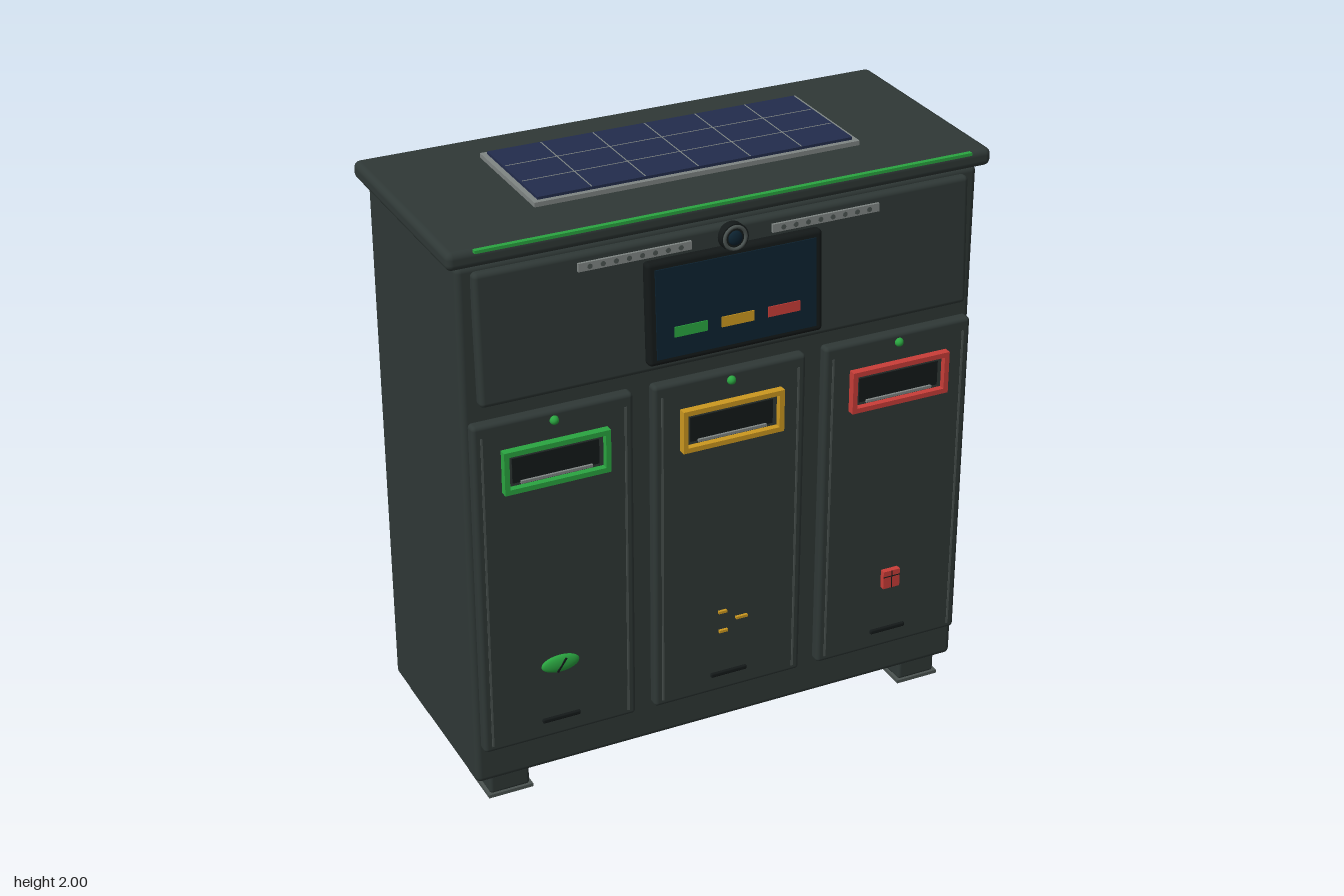
import * as THREE from 'three';
import { RoundedBoxGeometry } from 'three/addons/geometries/RoundedBoxGeometry.js';

const mat = (name, color) => {
  const m = new THREE.MeshStandardMaterial({ color });
  m.name = name;
  return m;
};

export function createModel() {
  const shell = mat('shell', 0x2f3836);
  const black = mat('black', 0x141919);
  const trim = mat('trim', 0x4a5250);
  const metal = mat('metal', 0x7f8583);
  const cell = mat('solar blue', 0x222c4c);
  const glass = mat('screen glass', 0x0c2230);
  const green = mat('green', 0x2aa540);
  const yellow = mat('yellow', 0xcc981f);
  const red = mat('red', 0xc93d38);

  const add = (parent, name, geo, material, x, y, z) => {
    const m = new THREE.Mesh(geo, material);
    m.name = name;
    m.position.set(x, y, z);
    parent.add(m);
    return m;
  };
  // box given by centre and size; r rounds its edges
  const box = (parent, name, material, x, y, z, w, h, d, r = 0) =>
    add(parent, name, r ? new RoundedBoxGeometry(w, h, d, 3, r) : new THREE.BoxGeometry(w, h, d), material, x, y, z);
  // disc or cylinder with its axis along z
  const disc = (parent, name, material, x, y, z, r, d) =>
    add(parent, name, new THREE.CylinderGeometry(r, r, d, 24).rotateX(Math.PI / 2), material, x, y, z);
  // rectangular ring facing +z, back face at z
  const ring = (parent, name, material, x, y, z, w, h, t, d) => {
    const rect = (C, a, b) => new C([[-a, -b], [a, -b], [a, b], [-a, b]].map(p => new THREE.Vector2(...p)));
    const s = rect(THREE.Shape, w / 2, h / 2);
    s.holes.push(rect(THREE.Path, w / 2 - t, h / 2 - t));
    return add(parent, name, new THREE.ExtrudeGeometry(s, { depth: d, bevelEnabled: false }), material, x, y, z);
  };
  const group = (parent, name, x, y, z) => {
    const g = new THREE.Group();
    g.name = name;
    g.position.set(x, y, z);
    parent.add(g);
    return g;
  };

  const model = new THREE.Group();
  model.name = 'recyclingStation';
  const root = group(model, 'station', -0.003, 0, 0);

  // Cabinet and lid
  box(root, 'cabinet', shell, 0, 0.995, -0.022, 1.775, 1.835, 0.735, 0.02);
  box(root, 'lid', shell, 0, 1.945, -0.025, 1.845, 0.06, 0.795, 0.022);
  box(root, 'lidLightStrip', green, 0, 1.973, 0.377, 1.68, 0.01, 0.016);

  // Feet
  for (const x of [-0.765, 0.765]) for (const z of [0.245, -0.295]) {
    const foot = group(root, 'foot', x, 0, z);
    box(foot, 'footBlock', shell, 0, 0.045, 0, 0.14, 0.075, 0.16, 0.012);
    box(foot, 'footPlate', trim, 0, 0.006, 0, 0.156, 0.012, 0.175);
  }

  // Solar panel
  const solar = group(root, 'solarPanel', 0, 1.975, -0.047);
  box(solar, 'solarFrame', metal, 0, 0.007, 0, 1.115, 0.016, 0.43);
  box(solar, 'solarCells', cell, 0, 0.014, 0, 1.08, 0.02, 0.395);
  for (let i = -2; i <= 2; i++) box(solar, 'cellLine', metal, i * 0.18, 0.0235, 0, 0.004, 0.002, 0.39);
  for (const z of [-0.066, 0.066]) box(solar, 'cellLine', metal, 0, 0.0235, z, 1.07, 0.002, 0.004);

  // Tilted console with screen, camera and speaker bars
  const top = group(root, 'console', 0, 1.677, 0.36);
  top.rotation.x = -0.05;
  box(top, 'consolePanel', shell, 0, 0, 0, 1.685, 0.435, 0.045, 0.016);
  box(top, 'screenBezel', black, 0, -0.017, 0.035, 0.6, 0.34, 0.04, 0.014);
  box(top, 'screen', glass, 0, -0.017, 0.056, 0.55, 0.295, 0.006);
  [green, yellow, red].forEach((m, i) => box(top, 'screenButton', m, (i - 1) * 0.16, -0.082, 0.06, 0.112, 0.034, 0.005));
  for (const s of [-1, 1]) {
    box(top, 'speakerBar', metal, s * 0.325, 0.177, 0.026, 0.375, 0.027, 0.012);
    for (let i = 0; i < 8; i++) disc(top, 'speakerHole', trim, s * 0.325 + (i - 3.5) * 0.043, 0.177, 0.033, 0.008, 0.004);
  }
  disc(top, 'cameraHousing', black, 0, 0.18, 0.035, 0.046, 0.03);
  add(top, 'cameraRing', new THREE.TorusGeometry(0.036, 0.006, 10, 32), trim, 0, 0.18, 0.05);
  add(top, 'cameraLens', new THREE.SphereGeometry(0.024, 20, 14).scale(1, 1, 0.5), glass, 0, 0.18, 0.05);

  // Icons near the foot of each bin door
  const leafIcon = g => {
    add(g, 'leafIcon', new THREE.SphereGeometry(1, 24, 16).scale(0.066, 0.031, 0.014), green, 0, 0.49, 0.387);
    box(g, 'leafVein', black, 0, 0.49, 0.401, 0.006, 0.055, 0.004).rotation.z = -0.6;
  };
  const cycleIcon = g => [[-0.025, 0.524], [0.045, 0.487], [-0.022, 0.45]].forEach(([x, y], i) =>
    box(g, 'cycleMark', yellow, x, y, 0.388, i === 1 ? 0.042 : 0.03, 0.009, 0.01));
  const crateIcon = g => {
    box(g, 'crateIcon', red, 0, 0.488, 0.393, 0.062, 0.066, 0.02);
    box(g, 'crateLine', black, 0, 0.5, 0.4035, 0.062, 0.003, 0.002);
    box(g, 'crateLine', black, 0, 0.488, 0.4035, 0.003, 0.066, 0.002);
  };

  // Three bin doors
  [[-0.603, green, leafIcon], [0, yellow, cycleIcon], [0.603, red, crateIcon]].forEach(([x, colour, icon]) => {
    const g = group(root, 'binDoor', x, 0, 0);
    box(g, 'doorPanel', shell, 0, 0.807, 0.361, 0.535, 1.185, 0.045, 0.014);
    for (const s of [-1, 1]) box(g, 'doorTrim', trim, s * 0.239, 0.797, 0.383, 0.007, 1.12, 0.006);
    ring(g, 'slotFrame', colour, 0, 1.231, 0.38, 0.355, 0.147, 0.017, 0.03);
    box(g, 'slotFlap', shell, 0, 1.231, 0.385, 0.32, 0.112, 0.008);
    box(g, 'slotOpening', black, 0, 1.228, 0.389, 0.29, 0.085, 0.006);
    box(g, 'slotLip', metal, 0, 1.187, 0.394, 0.24, 0.009, 0.012);
    add(g, 'statusLight', new THREE.SphereGeometry(0.015, 16, 12), green, 0, 1.368, 0.385);
    box(g, 'doorPull', black, 0, 0.284, 0.386, 0.132, 0.016, 0.012, 0.005);
    icon(g);
  });

  // Service door on the left side, built facing +z then turned to +x
  const side = group(root, 'serviceDoor', 0.885, 0, -0.042);
  side.rotation.y = Math.PI / 2;
  box(side, 'servicePanel', shell, 0, 0.952, 0.01, 0.415, 1.08, 0.03, 0.01);
  ring(side, 'serviceOutline', metal, 0, 0.951, 0.022, 0.375, 1.025, 0.007, 0.006);
  for (let i = 0; i < 7; i++) box(side, 'ventSlat', black, 0, 1.41 - i * 0.044, 0.027, 0.15, 0.011, 0.01);
  box(side, 'serviceHandle', metal, -0.142, 0.77, 0.03, 0.013, 0.105, 0.018, 0.004);

  return model;
}
